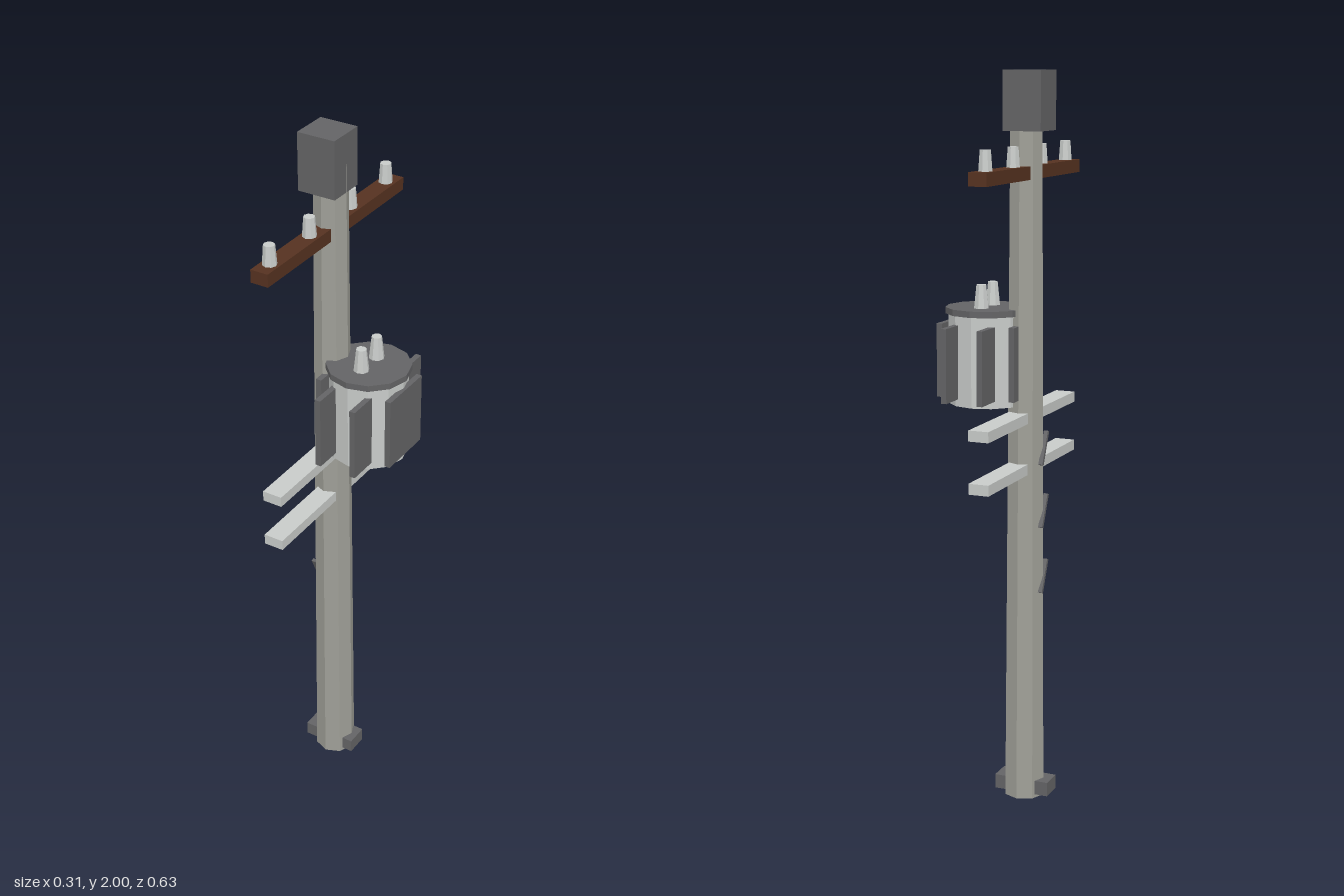
import * as THREE from 'three';

const mat = (name, color, extra = {}) => {
  const m = new THREE.MeshStandardMaterial({ color, flatShading: true, ...extra });
  m.name = name;
  return m;
};

export function createModel() {
  const concrete = mat('concrete grey', 0x9f9f97);
  const darkMetal = mat('dark metal', 0x636365);
  const paleMetal = mat('pale metal', 0xc8cbc9);
  const wood = mat('brown wood', 0x563220);

  const model = new THREE.Group();
  model.name = 'utilityPole';

  const add = (name, geometry, material, x, y, z) => {
    const mesh = new THREE.Mesh(geometry, material);
    mesh.name = name;
    mesh.position.set(x, y, z);
    model.add(mesh);
    return mesh;
  };
  // Box given by its minimum and maximum corners
  const box = (name, material, [x0, y0, z0], [x1, y1, z1]) =>
    add(name, new THREE.BoxGeometry(x1 - x0, y1 - y0, z1 - z0), material,
      (x0 + x1) / 2, (y0 + y1) / 2, (z0 + z1) / 2);
  // Upright tapered cylinder from y0 to y1
  const post = (name, material, rTop, rBottom, y0, y1, sides, x, z) =>
    add(name, new THREE.CylinderGeometry(rTop, rBottom, y1 - y0, sides), material, x, (y0 + y1) / 2, z);

  // Pole with its cap and foot anchor
  const poleX = -0.073;
  post('pole', concrete, 0.045, 0.058, 0, 1.94, 8, poleX, 0);
  box('poleCap', darkMetal, [-0.135, 1.845, -0.053], [-0.028, 2, 0.053]);
  box('footAnchor', darkMetal, [-0.155, 0.01, -0.032], [0.003, 0.05, 0.032]);

  // Crossarm with four insulators
  box('crossarm', wood, [-0.1, 1.72, -0.317], [-0.05, 1.755, 0.317]);
  for (const z of [-0.27, -0.095, 0.095, 0.27]) {
    post('insulator', paleMetal, 0.015, 0.019, 1.755, 1.808, 8, -0.076, z);
  }

  // Two pale support arms
  for (const y of [0.932, 1.072]) {
    box('supportArm', paleMetal, [-0.097, y, -0.302], [-0.041, y + 0.029, 0.302]);
  }

  // Transformer tank, lid and bushings
  const tankX = 0.04;
  post('tank', paleMetal, 0.105, 0.105, 1.115, 1.36, 12, tankX, 0);
  post('tankLid', darkMetal, 0.113, 0.113, 1.36, 1.377, 12, tankX, 0);
  for (const z of [-0.038, 0.038]) {
    post('bushing', paleMetal, 0.014, 0.021, 1.377, 1.44, 8, tankX, z);
  }

  // Cooling fins: two on each side, one broad plate at each end
  for (const s of [-1, 1]) {
    for (const t of [-1, 1]) {
      const fx = tankX + t * 0.052;
      box('coolingFin', darkMetal,
        [fx - 0.008, 1.135, s > 0 ? 0.08 : -0.168], [fx + 0.008, 1.335, s > 0 ? 0.168 : -0.08]);
    }
    const px = tankX + s * 0.105;
    box('coolingPlate', darkMetal, [px - 0.008, 1.135, -0.08], [px + 0.008, 1.335, 0.08]);
  }

  // Slanted metal strips on the back of the pole
  for (const y of [1.0, 0.825, 0.64]) {
    const strip = add('poleStrip', new THREE.BoxGeometry(0.012, 0.095, 0.01), darkMetal, -0.125, y, 0.004);
    strip.rotation.x = 0.42;
  }

  return model;
}
